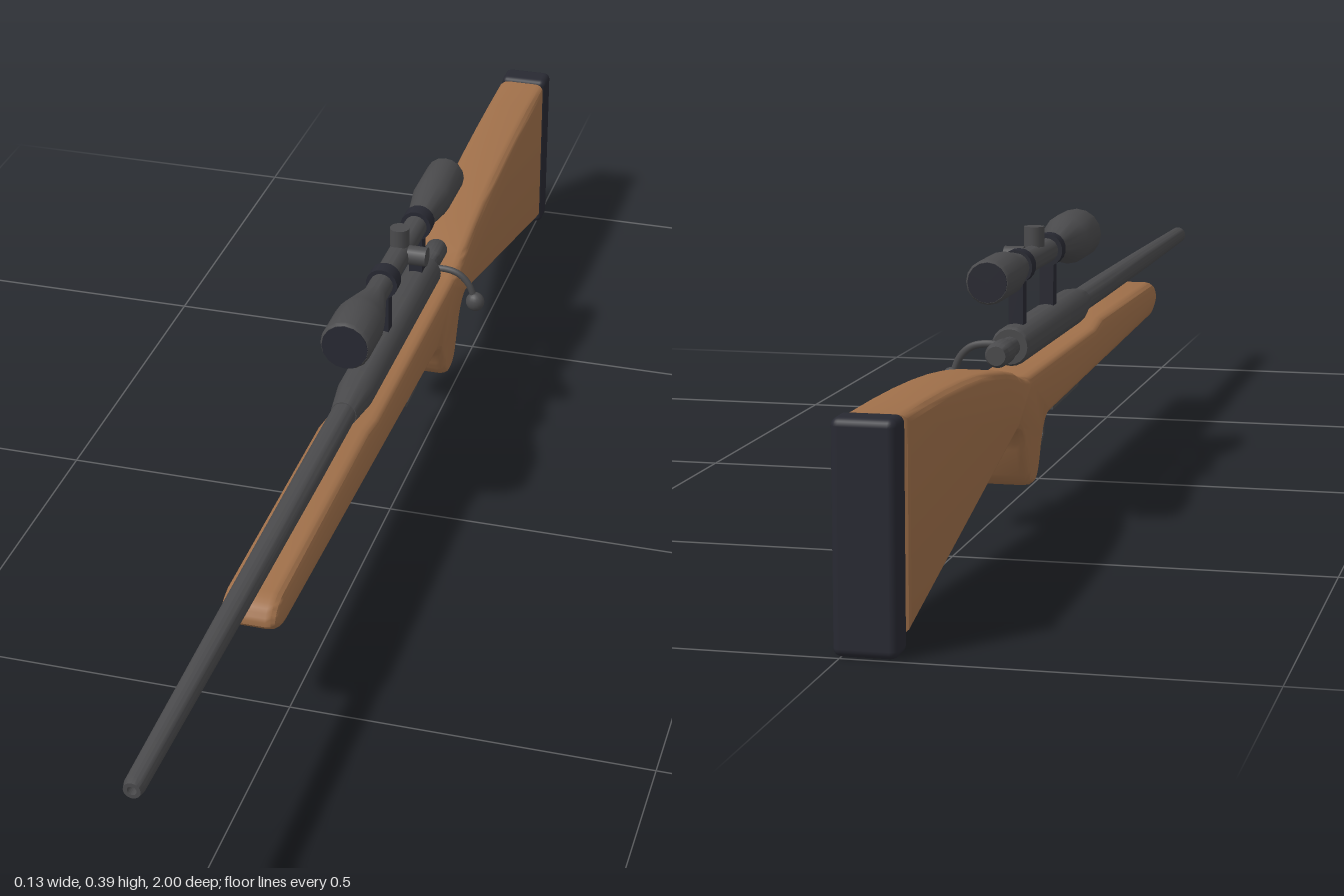
import * as THREE from 'three';
import { toCreasedNormals } from 'three/addons/utils/BufferGeometryUtils.js';
import { RoundedBoxGeometry } from 'three/addons/geometries/RoundedBoxGeometry.js';

const wood = new THREE.MeshStandardMaterial({ color: 0xa0704a, name: 'walnut' });
const steel = new THREE.MeshStandardMaterial({ color: 0x4a4a4c, name: 'steel' });
const dark = new THREE.MeshStandardMaterial({ color: 0x282932, name: 'dark rubber' });

const BORE = 0.245, SIGHT = 0.349;

export function createModel() {
  const root = new THREE.Group();
  root.name = 'rifle';
  // everything is built around the bore plane; the bolt handle shifts it off centre
  const body = new THREE.Group();
  body.name = 'body';
  body.position.x = -0.029;
  root.add(body);

  const add = (name, geo, mat, x = 0, y = 0, z = 0) => {
    const m = new THREE.Mesh(geo, mat);
    m.name = name;
    m.position.set(x, y, z);
    body.add(m);
    return m;
  };
  // turned part along z from [radius, z] pairs in rising z
  const turned = (pts, sides = 20) => toCreasedNormals(
    new THREE.LatheGeometry(pts.map(p => new THREE.Vector2(...p)), sides).rotateX(Math.PI / 2), 0.6);
  // side profile in (z, y) extruded across x, centred
  const slab = (shape, width, bevel, inset, segments) => {
    const g = new THREE.ExtrudeGeometry(shape, {
      depth: width - 2 * bevel, bevelEnabled: bevel > 0, bevelThickness: bevel,
      bevelSize: inset, bevelOffset: -inset, bevelSegments: segments, curveSegments: 7,
    });
    g.translate(0, 0, bevel - width / 2).rotateY(-Math.PI / 2);
    return toCreasedNormals(g, 0.6);
  };
  const v3 = p => new THREE.Vector3(...p);

  // stock
  const s = new THREE.Shape();
  s.moveTo(0.545, 0.22);
  s.lineTo(0.14, 0.222);
  s.lineTo(0.09, 0.213);
  s.lineTo(-0.33, 0.213);
  s.quadraticCurveTo(-0.37, 0.214, -0.42, 0.232);
  s.bezierCurveTo(-0.54, 0.26, -0.72, 0.272, -0.948, 0.272);
  s.lineTo(-0.948, 0.018);
  s.lineTo(-0.415, 0.15);
  s.quadraticCurveTo(-0.385, 0.152, -0.37, 0.118);
  s.lineTo(-0.352, 0.08);
  s.quadraticCurveTo(-0.335, 0.055, -0.305, 0.062);
  s.quadraticCurveTo(-0.29, 0.068, -0.278, 0.095);
  s.quadraticCurveTo(-0.26, 0.138, -0.225, 0.141);
  s.lineTo(0.53, 0.165);
  s.quadraticCurveTo(0.565, 0.168, 0.58, 0.188);
  s.quadraticCurveTo(0.583, 0.212, 0.545, 0.22);
  add('stock', slab(s, 0.077, 0.014, 0.01, 3), wood);

  // recoil pad
  add('recoilPad', new RoundedBoxGeometry(0.077, 0.274, 0.044, 3, 0.01), dark, 0, 0.138, -0.977);
  add('padSpacer', new THREE.BoxGeometry(0.056, 0.24, 0.02), dark, 0, 0.143, -0.952);

  // barrel, receiver and bolt
  add('barrel', turned([[0, 0.05], [0.018, 0.05], [0.018, 0.3], [0.0165, 0.62], [0.0135, 0.99],
    [0.011, 1], [0.006, 1], [0.006, 0.985], [0, 0.985]]), steel, 0, BORE);
  add('receiver', turned([[0, -0.3], [0.024, -0.3], [0.027, -0.295], [0.027, 0.08],
    [0.019, 0.14], [0, 0.14]]), steel, 0, BORE);
  add('boltShroud', turned([[0, -0.38], [0.013, -0.38], [0.017, -0.372], [0.017, -0.335],
    [0.014, -0.328], [0.014, -0.29]]), steel, 0, BORE);
  const handle = new THREE.CatmullRomCurve3(
    [[0, 0.245, -0.305], [0.03, 0.249, -0.305], [0.053, 0.244, -0.304], [0.069, 0.229, -0.303], [0.079, 0.205, -0.303]].map(v3));
  add('boltHandle', new THREE.TubeGeometry(handle, 20, 0.0052, 8), steel);
  add('boltKnob', new THREE.SphereGeometry(0.0145, 16, 12), steel, 0.08, 0.2, -0.303).scale.set(1, 1.06, 0.85);

  // scope body and lenses
  add('scopeTube', turned([[0, -0.425], [0.027, -0.425], [0.03, -0.42], [0.03, -0.335], [0.0175, -0.255],
    [0.0175, -0.02], [0.034, 0.045], [0.037, 0.06], [0.037, 0.126], [0.034, 0.131], [0, 0.131]], 16),
  steel, 0, SIGHT);
  for (const [name, r, z] of [['frontLens', 0.0335, 0.131], ['rearLens', 0.0265, -0.425]])
    add(name, new THREE.CylinderGeometry(r, r, 0.003, 16).rotateX(Math.PI / 2), dark, 0, SIGHT, z);

  // adjustment turrets
  const turret = () => new THREE.CylinderGeometry(0.0145, 0.0145, 0.028, 16);
  add('topTurret', turret(), steel, 0, SIGHT + 0.029, -0.155);
  add('sideTurret', turret().rotateZ(Math.PI / 2), steel, 0.028, SIGHT, -0.155);

  // scope mounts
  for (const z of [-0.068, -0.256]) {
    add('scopeRing', new THREE.CylinderGeometry(0.0235, 0.0235, 0.024, 18).rotateX(Math.PI / 2), dark, 0, SIGHT, z);
    add('scopePost', new THREE.BoxGeometry(0.02, 0.075, 0.021), dark, 0, 0.3, z);
  }

  // magazine floor plate
  add('floorPlate', new THREE.BoxGeometry(0.047, 0.022, 0.17), steel, 0, 0.145, -0.055).rotation.x = -0.03;

  // trigger guard: a bent strap
  const g = new THREE.Shape();
  const strap = [[-0.14, 0.145], [-0.14, 0.096], [-0.158, 0.083], [-0.215, 0.085], [-0.233, 0.1], [-0.252, 0.14],
    [-0.245, 0.142], [-0.227, 0.105], [-0.213, 0.092], [-0.161, 0.09], [-0.147, 0.099], [-0.147, 0.145]];
  g.setFromPoints(strap.map(p => new THREE.Vector2(...p)));
  add('triggerGuard', slab(g, 0.022, 0, 0, 1), steel);

  // trigger
  const t = new THREE.Shape();
  t.moveTo(-0.183, 0.15);
  t.quadraticCurveTo(-0.202, 0.125, -0.186, 0.1);
  t.lineTo(-0.192, 0.1);
  t.quadraticCurveTo(-0.213, 0.125, -0.198, 0.15);
  add('trigger', slab(t, 0.01, 0, 0, 1), steel);

  // sling swivels
  for (const [name, y, z] of [['frontSwivel', 0.146, 0.405], ['rearSwivel', 0.053, -0.767]]) {
    const loop = new THREE.CurvePath();
    const c = [[0, 0.015, 0.011], [0, -0.015, 0.011], [0, -0.015, -0.011], [0, 0.015, -0.011]].map(v3);
    c.forEach((p, i) => loop.add(new THREE.LineCurve3(p, c[(i + 1) % 4])));
    add(name, new THREE.TubeGeometry(loop, 32, 0.0025, 6, true), steel, 0, y, z);
  }

  return root;
}
